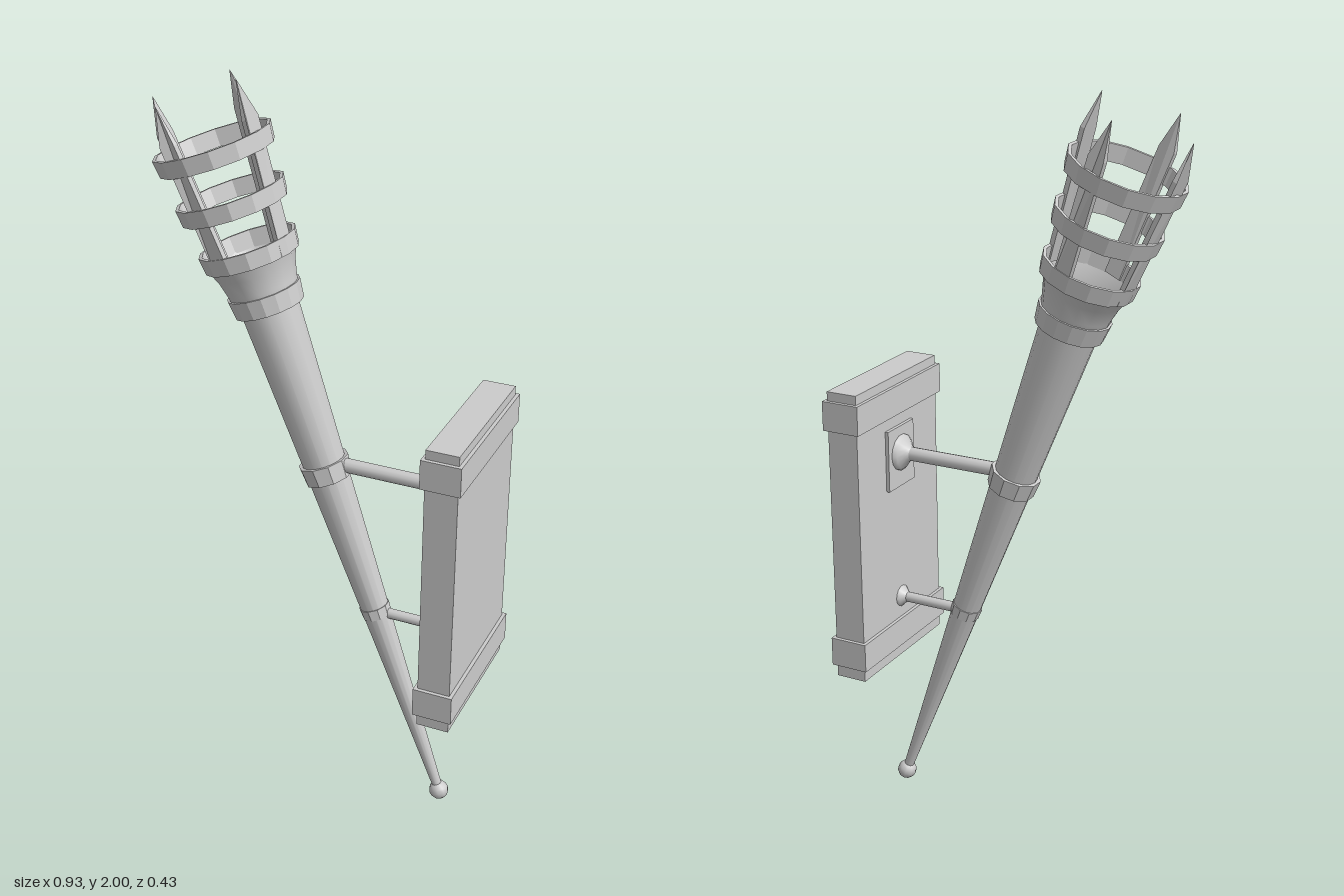
import * as THREE from 'three';

const smooth = new THREE.MeshStandardMaterial({ color: 0xcccccc, side: THREE.DoubleSide });
const flat = new THREE.MeshStandardMaterial({ color: 0xcccccc, side: THREE.DoubleSide, flatShading: true });

function add(parent, name, geometry, material = flat, x = 0, y = 0, z = 0) {
  const mesh = new THREE.Mesh(geometry, material);
  mesh.name = name;
  mesh.position.set(x, y, z);
  parent.add(mesh);
  return mesh;
}

const lathe = (points, sides) =>
  new THREE.LatheGeometry(points.map(([r, y]) => new THREE.Vector2(r, y)), sides);

// Closed band: outer and inner wall, leaning outwards by `flare` over its height
function band(r, height, thickness, flare, sides) {
  const h = height / 2, f = flare / 2, i = r - thickness;
  return lathe([[i - f, -h], [r - f, -h], [r + f, h], [i + f, h], [i - f, -h]], sides);
}

// Flat pointed bar whose tip narrows in both directions
function spikeGeometry() {
  const w = 0.024, length = 0.44, shoulder = 0.345, depth = 0.014;
  const shape = new THREE.Shape();
  shape.moveTo(-w, 0);
  shape.lineTo(w, 0);
  shape.lineTo(w, shoulder);
  shape.lineTo(0, length);
  shape.lineTo(-w, shoulder);
  shape.closePath();
  const geometry = new THREE.ExtrudeGeometry(shape, { depth, bevelEnabled: false });
  geometry.translate(0, 0, -depth / 2);
  const p = geometry.attributes.position;
  for (let i = 0; i < p.count; i++) {
    if (p.getY(i) > length - 0.001) p.setZ(i, p.getZ(i) * 0.1 - 0.012);
  }
  geometry.computeVertexNormals();
  return geometry;
}

function createTorch() {
  const torch = new THREE.Group();
  torch.name = 'torch';
  torch.position.set(0.362, 0.027, 0);
  torch.rotation.z = THREE.MathUtils.degToRad(20);

  // Tapered handle with its end ball and two collars
  add(torch, 'endBall', new THREE.SphereGeometry(0.027, 10, 8), smooth);
  add(torch, 'handle', new THREE.CylinderGeometry(0.078, 0.013, 1.5, 16), smooth, 0, 0.76);
  add(torch, 'lowerCollar', band(0.041, 0.03, 0.012, 0.002, 10), flat, 0, 0.585);
  add(torch, 'upperCollar', band(0.066, 0.05, 0.02, 0.004, 10), flat, 0, 1.012);

  // Open cup
  add(torch, 'cupWall', lathe([[0.076, 1.48], [0.088, 1.48], [0.092, 1.53], [0.103, 1.575],
    [0.118, 1.61]], 16), smooth);
  add(torch, 'cupBase', band(0.094, 0.05, 0.018, 0.006, 16), flat, 0, 1.495);

  // Basket hoops
  const hoops = [['cupRim', 1.625, 0.126], ['middleHoop', 1.757, 0.14], ['topHoop', 1.89, 0.152]];
  for (const [name, y, r] of hoops) {
    add(torch, name, band(r, 0.045, 0.009, 0.005, 14), flat, 0, y);
  }

  // Four spikes standing inside the hoops
  const geometry = spikeGeometry();
  for (let i = 0; i < 4; i++) {
    const holder = new THREE.Group();
    holder.name = 'spike' + (i + 1);
    holder.rotation.y = Math.PI / 2 - THREE.MathUtils.degToRad(12 + 90 * i);
    const spike = add(holder, 'spikeBar', geometry, flat, 0, 1.605, 0.112);
    spike.rotation.x = 0.095;
    torch.add(holder);
  }
  return torch;
}

// Horizontal rod ending in a flared foot against the wall plate
function createArm(name, y, startX, endX, r, footR, footLength) {
  const arm = new THREE.Group();
  arm.name = name;
  arm.position.set(startX, y, 0);
  arm.rotation.z = -Math.PI / 2;
  const length = endX - startX;
  add(arm, 'rod', new THREE.CylinderGeometry(r, r, length, 12), smooth, 0, length / 2);
  const foot = [[r, 0], [r * 1.3, 0.25], [footR * 0.85, 0.6], [footR, 0.8], [footR, 1]]
    .map(([fr, t]) => [fr, length - footLength * (1 - t)]);
  add(arm, 'foot', lathe(foot, 14), smooth);
  return arm;
}

function createWallPlate() {
  const plate = new THREE.Group();
  plate.name = 'wallPlate';
  add(plate, 'board', new THREE.BoxGeometry(0.087, 0.815, 0.406), flat, 0.408, 0.8075);
  for (const [name, y] of [['lowerBand', 0.475], ['upperBand', 1.15]]) {
    add(plate, name, new THREE.BoxGeometry(0.106, 0.08, 0.426), flat, 0.408, y);
  }
  add(plate, 'mountingPlate', new THREE.BoxGeometry(0.02, 0.17, 0.13), flat, 0.365, 0.99);
  return plate;
}

export function createModel() {
  const model = new THREE.Group();
  model.name = 'wallTorch';
  model.add(createTorch());
  model.add(createWallPlate());
  model.add(createArm('upperArm', 1.0, 0.02, 0.358, 0.019, 0.05, 0.036));
  model.add(createArm('lowerArm', 0.575, 0.165, 0.367, 0.014, 0.03, 0.022));
  return model;
}
